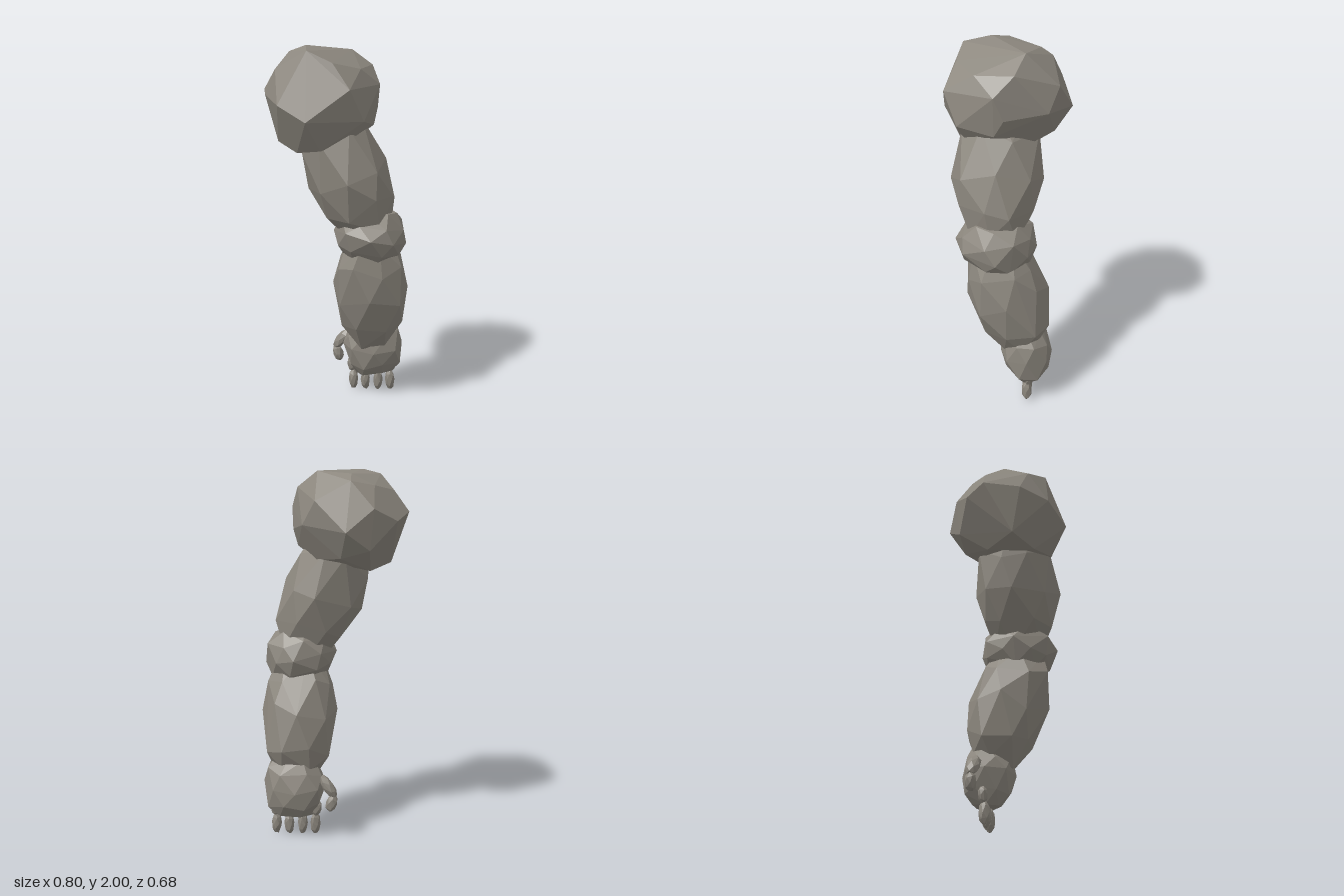
import * as THREE from 'three';
import { ConvexGeometry } from 'three/addons/geometries/ConvexGeometry.js';

const stone = new THREE.MeshStandardMaterial({ color: 0x8c877e });
stone.name = 'stone';

// small seeded generator for the chipped look
function seeded(seed) {
  let s = seed * 7919 + 13;
  return () => (s = (s * 16807) % 2147483647) / 2147483647;
}

// faceted boulder stretched from point a to point b, with side radii rx and rz
function rock(name, a, b, rx, rz, seed, sides = 8, end = 0.6, rough = 0.045) {
  const rnd = seeded(seed);
  for (let i = 0; i < 5; i++) rnd();
  const from = new THREE.Vector3(...a), axis = new THREE.Vector3(...b).sub(from);
  const up = new THREE.Vector3(0, axis.y < 0 ? -1 : 1, 0);
  const turn = new THREE.Quaternion().setFromUnitVectors(up, axis.clone().normalize());
  const profile = [[0, end], [0.22, 0.91], [0.5, 1.04], [0.78, 0.91], [1, end]];
  const points = [];
  profile.forEach(([t, r], ring) => {
    const count = ring % 4 ? sides : sides - 2;
    for (let i = 0; i < count; i++) {
      const angle = ((i + (ring % 2) / 2 + (rnd() - 0.5) * 0.4) / count) * Math.PI * 2;
      const k = r * (1 + (rnd() - 0.5) * 2 * rough);
      const lift = ring % 4 ? (rnd() - 0.5) * 0.12 : (ring ? -1 : 1) * rnd() * 0.06;
      points.push(new THREE.Vector3(Math.cos(angle) * rx * k, 0, Math.sin(angle) * rz * k)
        .applyQuaternion(turn).add(from).addScaledVector(axis, t + lift));
    }
  });
  const mesh = new THREE.Mesh(new ConvexGeometry(points), stone);
  mesh.name = name;
  return mesh;
}

// large shoulder boulder, from its main corners
function shoulder() {
  const corners = [
    [-.14, 1.62, .34], [.08, 1.78, .31], [-.14, 1.97, .23], [-.155, 2, .085],
    [.08, 1.98, -.1], [-.25, 1.97, 0], [.19, 1.9, -.05], [.23, 1.8, .05],
    [.13, 1.88, .15], [.22, 1.68, 0], [.2, 1.59, .05], [.15, 1.62, .24],
    [-.4, 1.77, -.1], [-.37, 1.75, .1], [-.29, 1.7, .25], [-.31, 1.5, .05],
    [-.2, 1.45, .16], [-.07, 1.47, .25], [-.08, 1.66, -.34], [.08, 1.82, -.27],
    [.15, 1.7, -.22], [-.34, 1.72, -.2], [-.1, 1.92, -.23], [-.05, 1.53, -.25],
    [-.2, 1.46, -.1], [.08, 1.52, -.15], [-.22, 1.9, -.19], [.1, 1.53, .2],
    [-.1, 1.96, -.17], [-.31, 1.88, .14], [-.32, 1.88, -.1], [-.01, 1.91, .25],
    [-.22, 1.78, -.28], [-.2, 1.57, -.26],
  ];
  const mesh = new THREE.Mesh(
    new ConvexGeometry(corners.map((c) => new THREE.Vector3(...c))), stone);
  mesh.name = 'shoulder';
  return mesh;
}

export function createModel() {
  const arm = new THREE.Group();
  arm.name = 'stoneArm';
  arm.add(
    shoulder(),
    rock('upperArm', [-.075, 1.67, .035], [.195, .99, .04], .218, .238, 3),
    rock('elbow', [.16, .84, .035], [.215, 1.14, .035], .198, .21, 8),
    rock('forearm', [.182, 1, .06], [.195, .33, -.115], .203, .215, 5),
    rock('hand', [.2, .45, -.13], [.215, .11, -.14], .172, .142, 11, 8, 0.6),
  );

  // four fingers, each a knuckle and a tip
  [0.095, 0.165, 0.24, 0.31].forEach((x, i) => {
    const finger = new THREE.Group();
    finger.name = 'finger' + (i + 1);
    finger.add(
      rock('knuckle', [x + (i - 1.5) * .012, .2, -.15], [x, .11, -.145], .027, .027, 20 + i, 6, 0.4),
      rock('fingertip', [x, .125, -.14], [x, 0, -.14], .027, .03, 30 + i, 6, 0.4),
    );
    arm.add(finger);
  });

  // thumb hanging beside the hand
  const thumb = new THREE.Group();
  thumb.name = 'thumb';
  thumb.add(
    rock('thumbBase', [.06, .35, -.18], [-.02, .24, -.2], .03, .035, 41, 6, 0.5),
    rock('thumbTip', [-.015, .25, -.2], [.015, .155, -.2], .03, .03, 42, 6, 0.4),
  );
  arm.add(thumb);
  return arm;
}
